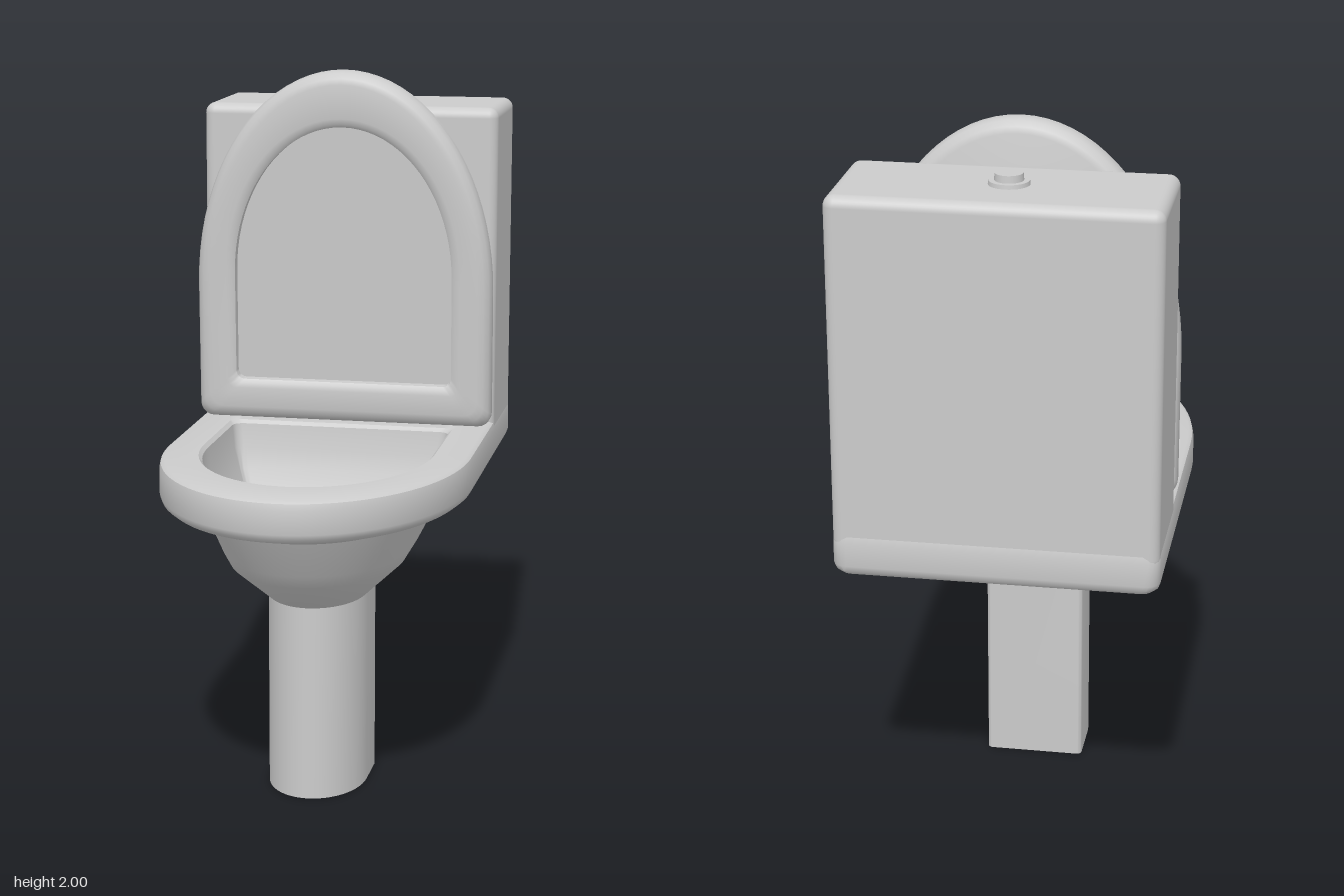
import * as THREE from 'three';
import { toCreasedNormals } from 'three/addons/utils/BufferGeometryUtils.js';
import { RoundedBoxGeometry } from 'three/addons/geometries/RoundedBoxGeometry.js';

const material = new THREE.MeshStandardMaterial({ color: 0xcccccc });

// D-shaped outline: square back with rounded corners, straight sides, elliptical front
function outline({ y, w, back, mid, front, r = 0.03 }) {
  const points = [];
  const arc = (cx, cz, rx, rz, from, to, n) => {
    for (let i = 0; i <= n; i++) {
      const a = from + ((to - from) * i) / n;
      points.push([cx + rx * Math.cos(a), y, cz + rz * Math.sin(a)]);
    }
  };
  arc(-w + r, back + r, r, r, Math.PI, 1.5 * Math.PI, 5);
  arc(w - r, back + r, r, r, -Math.PI / 2, 0, 5);
  arc(0, mid, w, front - mid, 0, Math.PI, 40);
  return points;
}

// Skin a list of outlines; either cap the two ends or join the last to the first
function loft(levels, { capped = false } = {}) {
  const rings = levels.map(outline);
  const count = rings[0].length;
  const positions = rings.flat(2);
  const index = [];
  const steps = capped ? rings.length - 1 : rings.length;
  for (let k = 0; k < steps; k++) {
    const next = (k + 1) % rings.length;
    for (let i = 0; i < count; i++) {
      const j = (i + 1) % count;
      const a = k * count + i, b = k * count + j;
      const c = next * count + i, d = next * count + j;
      index.push(a, c, b, b, c, d);
    }
  }
  if (capped) {
    const last = rings.length - 1;
    for (const [k, flip] of [[0, false], [last, true]]) {
      const centre = positions.length / 3;
      positions.push(0, levels[k].y, levels[k].mid);
      for (let i = 0; i < count; i++) {
        const a = k * count + i, b = k * count + ((i + 1) % count);
        if (flip) index.push(centre, b, a);
        else index.push(centre, a, b);
      }
    }
  }
  const geometry = new THREE.BufferGeometry();
  geometry.setAttribute('position', new THREE.Float32BufferAttribute(positions, 3));
  geometry.setIndex(index);
  return toCreasedNormals(geometry, 0.65);
}

function addMesh(group, name, geometry, x = 0, y = 0, z = 0) {
  const mesh = new THREE.Mesh(geometry, material);
  mesh.name = name;
  mesh.position.set(x, y, z);
  group.add(mesh);
  return mesh;
}

export function createModel() {
  const model = new THREE.Group();
  model.name = 'toilet';
  const level = (y, w, back, front, r) => ({ y, w, back, front, mid: 0.1, r });

  // Pedestal, bowl and rim: up the outside, over the rim and down the open inside
  addMesh(model, 'bowlAndPedestal', loft([
    level(0, 0.14, -0.04, 0.29, 0.015),
    level(0.56, 0.14, -0.04, 0.29, 0.015),
    level(0.66, 0.245, -0.14, 0.435, 0.02),
    level(0.7, 0.265, -0.165, 0.465, 0.02),
    level(0.81, 0.31, -0.21, 0.53, 0.02),
    level(0.845, 0.39, -0.35, 0.65, 0.03),
    level(0.853, 0.415, -0.685, 0.68, 0.03),
    level(0.865, 0.43, -0.697, 0.695, 0.04),
    level(0.88, 0.435, -0.7, 0.7, 0.04),
    level(0.945, 0.435, -0.7, 0.7, 0.04),
    level(0.963, 0.431, -0.696, 0.695, 0.04),
    level(0.97, 0.42, -0.685, 0.685, 0.03),
    level(0.97, 0.33, -0.23, 0.54, 0.03),
    level(0.96, 0.32, -0.22, 0.53, 0.03),
    level(0.89, 0.312, -0.212, 0.512, 0.03),
    level(0.83, 0.295, -0.195, 0.5, 0.02),
    level(0.68, 0.24, -0.14, 0.42, 0.02),
    level(0.57, 0.13, -0.036, 0.272, 0.01),
    level(0, 0.13, -0.036, 0.272, 0.01),
  ]));

  // Raised lid: recessed panel, rounded border, then a solid back
  const lidLevel = (y, inset) => ({
    y, w: 0.435 - inset, back: inset, front: 1.03 - inset, mid: 0.4, r: 0.04,
  });
  const recess = (y, grow) => ({
    y, w: 0.32 + grow, back: 0.12 - grow, front: 0.87 + grow, mid: 0.44, r: 0.025,
  });
  const lid = addMesh(model, 'lid', loft([
    recess(-0.005, 0),
    recess(-0.034, 0),
    recess(-0.042, 0.01),
    recess(-0.045, 0.025),
    lidLevel(-0.045, 0.038),
    lidLevel(-0.04, 0.021),
    lidLevel(-0.028, 0.007),
    lidLevel(-0.01, 0),
    lidLevel(0.01, 0),
    lidLevel(0.028, 0.007),
    lidLevel(0.04, 0.021),
    lidLevel(0.045, 0.038),
  ], { capped: true }), 0, 0.97, -0.283);
  lid.rotation.x = -Math.PI / 2 + 0.03;

  // Cistern, sunk slightly into the rim
  addMesh(model, 'cistern', new RoundedBoxGeometry(0.866, 0.97, 0.362, 4, 0.03), 0, 1.405, -0.515);

  // Flush button on its collar
  addMesh(model, 'buttonCollar', new THREE.CylinderGeometry(0.053, 0.055, 0.016, 32), -0.013, 1.893, -0.508);
  addMesh(model, 'flushButton', new THREE.CylinderGeometry(0.037, 0.039, 0.03, 32), -0.013, 1.905, -0.508);

  return model;
}
